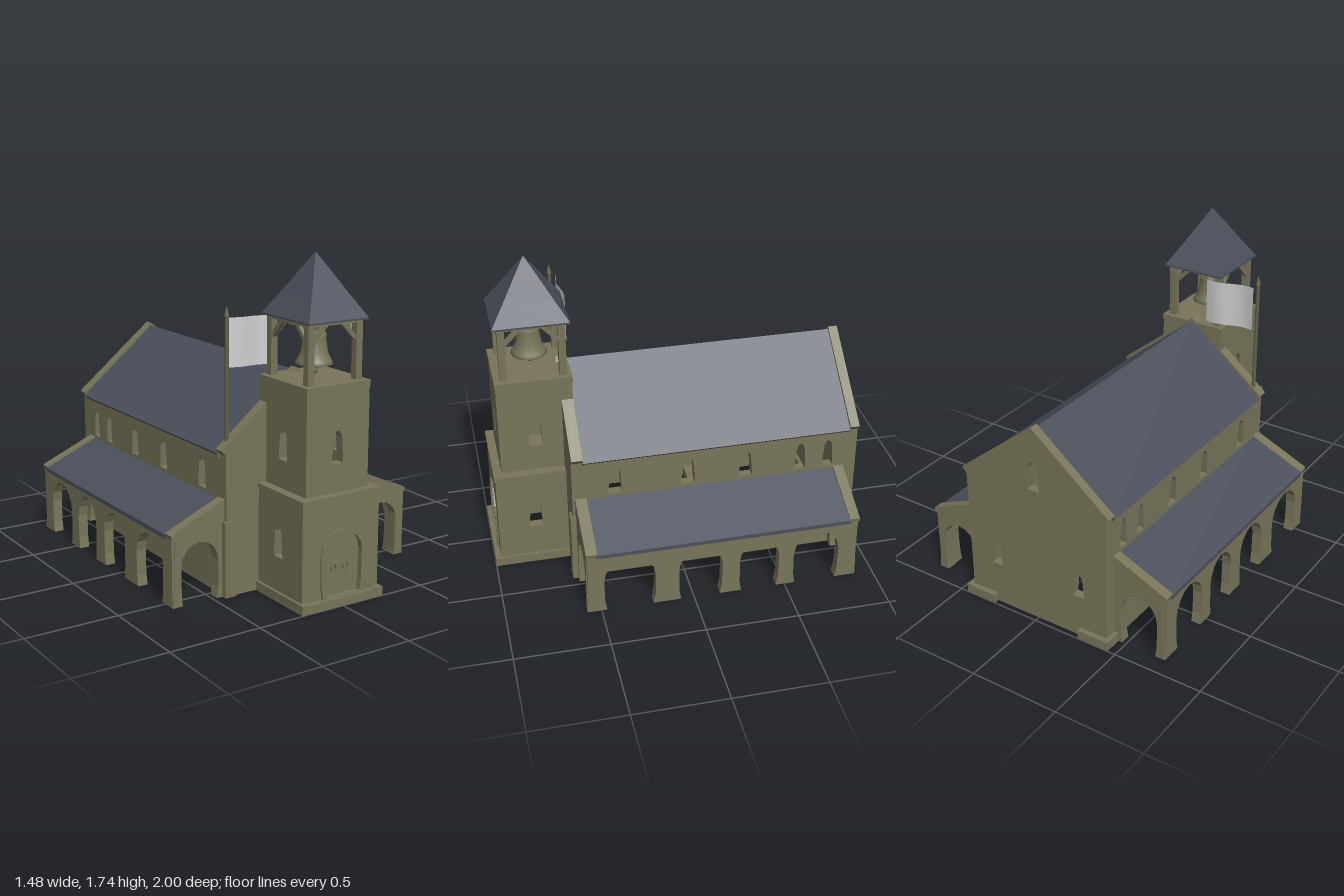
import * as THREE from 'three';

const stone = new THREE.MeshStandardMaterial({ color: 0x78755a });
stone.name = 'stone';
const slate = new THREE.MeshStandardMaterial({ color: 0x4b505c });
slate.name = 'slate';
const wood = new THREE.MeshStandardMaterial({ color: 0x64634a });
wood.name = 'weatheredWood';
const cloth = new THREE.MeshStandardMaterial({ color: 0xd2d2d2, side: THREE.DoubleSide });
cloth.name = 'cloth';

export function createModel() {
  const root = new THREE.Group();
  root.name = 'chapel';

  const add = (name, geo, mat, x = 0, y = 0, z = 0) => {
    const m = new THREE.Mesh(geo, mat);
    m.name = name;
    m.position.set(x, y, z);
    root.add(m);
    return m;
  };
  // Box given by its minimum and maximum corners
  const box = (name, mat, x0, x1, y0, y1, z0, z1) =>
    add(name, new THREE.BoxGeometry(x1 - x0, y1 - y0, z1 - z0), mat,
      (x0 + x1) / 2, (y0 + y1) / 2, (z0 + z1) / 2);
  const poly = (pts) => new THREE.Shape(pts.map((p) => new THREE.Vector2(p[0], p[1])));
  const extrude = (shape, depth) =>
    new THREE.ExtrudeGeometry(shape, { depth, bevelEnabled: false });
  // Wall drawn in x and y, from z0 to z1
  const wallZ = (name, pts, holes, z0, z1, mat = stone) => {
    const s = poly(pts);
    s.holes = holes.map(poly);
    return add(name, extrude(s, z1 - z0), mat, 0, 0, z0);
  };
  // Wall drawn in -z and y, from x0 to x1
  const wallX = (name, pts, holes, x0, x1) => {
    const s = poly(pts);
    s.holes = holes.map(poly);
    const m = add(name, extrude(s, x1 - x0), stone, x0, 0, 0);
    m.rotation.y = Math.PI / 2;
    return m;
  };
  const rect = (a, b, c, d) => [[a, c], [b, c], [b, d], [a, d]];
  // Tapered window opening with a narrow head
  const windowHole = (c, y, w, h) => [[c - w / 2, y], [c + w / 2, y], [c + w * 0.36, y + h * 0.82],
    [c + w * 0.15, y + h], [c - w * 0.15, y + h], [c - w * 0.36, y + h * 0.82]];
  // Arch outline from right foot to left foot, slightly narrower at the foot
  const arch = (c, w, y0, spring, top, n = 8) => {
    const pts = [[c + w * 0.9, y0], [c + w * 0.98, y0 + 0.06]];
    for (let i = 0; i <= n; i++) {
      const a = (i / n) * Math.PI;
      pts.push([c + w * Math.cos(a), spring + (top - spring) * Math.sin(a)]);
    }
    pts.push([c - w * 0.98, y0 + 0.06], [c - w * 0.9, y0]);
    return pts;
  };
  const beam = (name, a, b, t, mat) => {
    const p = new THREE.Vector3(...a), q = new THREE.Vector3(...b);
    const m = add(name, new THREE.BoxGeometry(t, p.distanceTo(q), t), mat);
    m.position.copy(p).add(q).multiplyScalar(0.5);
    m.quaternion.setFromUnitVectors(new THREE.Vector3(0, 1, 0), q.sub(p).normalize());
  };

  // Nave gables
  const gable = [[-0.43, 0], [0.43, 0], [0.43, 0.74], [0.455, 0.77], [0, 1.14], [-0.455, 0.77], [-0.43, 0.74]];
  wallZ('frontGable', gable, [], 0.53, 0.59);
  wallZ('backGable', gable, [windowHole(0, 0.78, 0.075, 0.16),
    windowHole(-0.26, 0.24, 0.07, 0.14), windowHole(0.26, 0.24, 0.07, 0.14)], -0.97, -0.92);

  // Nave roof
  wallZ('naveRoof', [[-0.455, 0.75], [-0.44, 0.735], [0, 1.09], [0.44, 0.735], [0.455, 0.75], [0, 1.125]],
    [], -0.92, 0.53, slate);
  box('naveCrossSill', stone, -0.38, 0.38, 0, 0.06, -0.28, -0.2);

  for (const s of [-1, 1]) {
    const span = (a, b) => [Math.min(s * a, s * b), Math.max(s * a, s * b)];

    // Nave side wall with clerestory windows
    wallX('naveSideWall', rect(-0.53, 0.92, 0, 0.755),
      [-0.36, 0.035, 0.35, 0.655, 0.81].map((u, i) => windowHole(u, 0.525, i < 3 ? 0.075 : 0.06, 0.16)),
      ...span(0.38, 0.43));
    box('eavesCourse', stone, ...span(0.42, 0.44), 0.72, 0.75, -0.92, 0.53);

    // Aisle arcade
    const arcade = [[-0.57, 0], [-0.57, 0.37], [0.89, 0.37], [0.89, 0]];
    for (const [c, w] of [[0.67, 0.125], [0.355, 0.108], [0.035, 0.118], [-0.345, 0.138]])
      arcade.push(...arch(c, w, 0, 0.19, 0.325));
    wallX('arcade', arcade, [], ...span(0.68, 0.735));

    // Aisle end walls, each with one arch
    const end = [[0.43, 0], [0.43, 0.515], [0.742, 0.38], [0.737, 0.355], [0.72, 0.35], [0.72, 0.15], [0.735, 0],
      ...arch(0.577, 0.11, 0, 0.2, 0.32)].map(([x, y]) => [s * x, y]);
    wallZ('aisleFrontWall', end, [], 0.515, 0.575);
    wallZ('aisleBackWall', end, [], -0.9, -0.845);

    // Aisle roof
    wallZ('aisleRoof', [[0.43, 0.505], [0.742, 0.372], [0.742, 0.35], [0.43, 0.475]].map(([x, y]) => [s * x, y]),
      [], -0.85, 0.52, slate);

    // Front corner buttress and rear footing
    box('cornerButtress', stone, ...span(0.38, 0.445), 0, 0.4, 0.55, 0.605);
    box('rearFooting', stone, ...span(0.27, 0.455), 0, 0.05, -1, -0.9);

    // Tower side walls and plinth
    wallX('towerLowerSide', rect(-0.97, -0.57, 0, 0.57), [windowHole(-0.765, 0.23, 0.075, 0.165)], ...span(0.185, 0.235));
    wallX('towerUpperSide', rect(-0.93, -0.53, 0.55, 1.12), [windowHole(-0.735, 0.72, 0.075, 0.16)], ...span(0.14, 0.19));
    box('towerPlinthSide', stone, ...span(0.2, 0.25), 0, 0.05, 0.58, 1);
  }

  // Tower front, back, ledge and floor
  wallZ('towerLowerFront', rect(-0.185, 0.185, 0, 0.57), [arch(0.01, 0.12, 0.045, 0.27, 0.385)], 0.92, 0.97);
  box('towerPlinthFront', stone, -0.2, 0.2, 0, 0.045, 0.93, 1);
  wallZ('towerUpperFront', rect(-0.14, 0.14, 0.55, 1.12), [windowHole(0, 0.72, 0.07, 0.165)], 0.88, 0.93);
  box('towerUpperBack', stone, -0.14, 0.14, 0.55, 1.12, 0.53, 0.58);
  box('towerLedge', stone, -0.24, 0.24, 0.55, 0.573, 0.58, 0.975);
  box('belfryFloor', stone, -0.193, 0.193, 1.09, 1.12, 0.527, 0.933);

  // Door with arched surround and two ring handles
  wallZ('door', arch(0.01, 0.125, 0.03, 0.27, 0.39), [], 0.92, 0.945);
  wallZ('doorSurround', arch(0.01, 0.135, 0.045, 0.27, 0.4), [arch(0.01, 0.115, 0.05, 0.27, 0.38)], 0.96, 0.98);
  for (const x of [-0.03, 0.045])
    add('doorRing', new THREE.TorusGeometry(0.016, 0.004, 6, 12), wood, x, 0.19, 0.95);

  // Belfry posts, top frame and braces
  const cz = 0.725, px = 0.145, pz = 0.155;
  for (const sx of [-1, 1]) {
    for (const sz of [-1, 1]) {
      const x = sx * px, z = cz + sz * pz;
      beam('belfryPost', [x, 1.11, z], [x, 1.43, z], 0.038, stone);
      beam('belfryBrace', [x, 1.31, z], [sx * 0.045, 1.415, z], 0.022, stone);
      beam('belfryBrace', [x, 1.31, z], [x, 1.415, cz + sz * 0.055], 0.022, stone);
    }
    beam('belfryRail', [sx * px, 1.42, cz - pz], [sx * px, 1.42, cz + pz], 0.03, stone);
    beam('belfryRail', [-px, 1.42, cz + sx * pz], [px, 1.42, cz + sx * pz], 0.03, stone);
  }
  beam('bellBeam', [-px, 1.41, cz], [px, 1.41, cz], 0.03, stone);

  // Flared four-sided spire
  const lathe = (pts, n, phi = 0) =>
    new THREE.LatheGeometry(pts.map((p) => new THREE.Vector2(p[0], p[1])), n, phi);
  const r2 = Math.SQRT2;
  const spire = lathe([[0, 1.435], [0.178 * r2, 1.42], [0.178 * r2, 1.43], [0.122 * r2, 1.525],
    [0.06 * r2, 1.635], [0, 1.74]], 4, Math.PI / 4).toNonIndexed();
  spire.scale(1, 1, 1.12);
  spire.computeVertexNormals();
  add('spire', spire, slate, 0, 0, cz);

  // Bell with clapper
  add('bell', lathe([[0, 1.33], [0.045, 1.31], [0.06, 1.23], [0.085, 1.19], [0.097, 1.188], [0.088, 1.205],
    [0.068, 1.245], [0.058, 1.32], [0.062, 1.335], [0.05, 1.35], [0, 1.352]], 14), stone, 0, 0, cz);
  beam('bellHanger', [0, 1.345, cz], [0, 1.41, cz], 0.02, wood);
  beam('clapperRod', [0, 1.15, cz], [0, 1.33, cz], 0.01, wood);
  add('clapper', new THREE.SphereGeometry(0.018, 8, 6), wood, 0, 1.15, cz);

  // Flagpole with pointed tip, and a gently waving flag
  add('flagpole', new THREE.CylinderGeometry(0.01, 0.012, 0.7, 8), wood, -0.4, 1.09, 0.55);
  add('flagpoleTip', new THREE.ConeGeometry(0.014, 0.05, 8), wood, -0.4, 1.46, 0.55);
  const flag = new THREE.PlaneGeometry(0.29, 0.25, 8, 1);
  const p = flag.attributes.position;
  for (let i = 0; i < p.count; i++) {
    const t = p.getX(i) / 0.29 + 0.5;
    p.setZ(i, 0.012 * Math.sin(t * Math.PI * 2));
    p.setY(i, p.getY(i) - 0.015 * t);
  }
  flag.computeVertexNormals();
  add('flag', flag, cloth, -0.245, 1.297, 0.545 - 0.03);

  return root;
}
